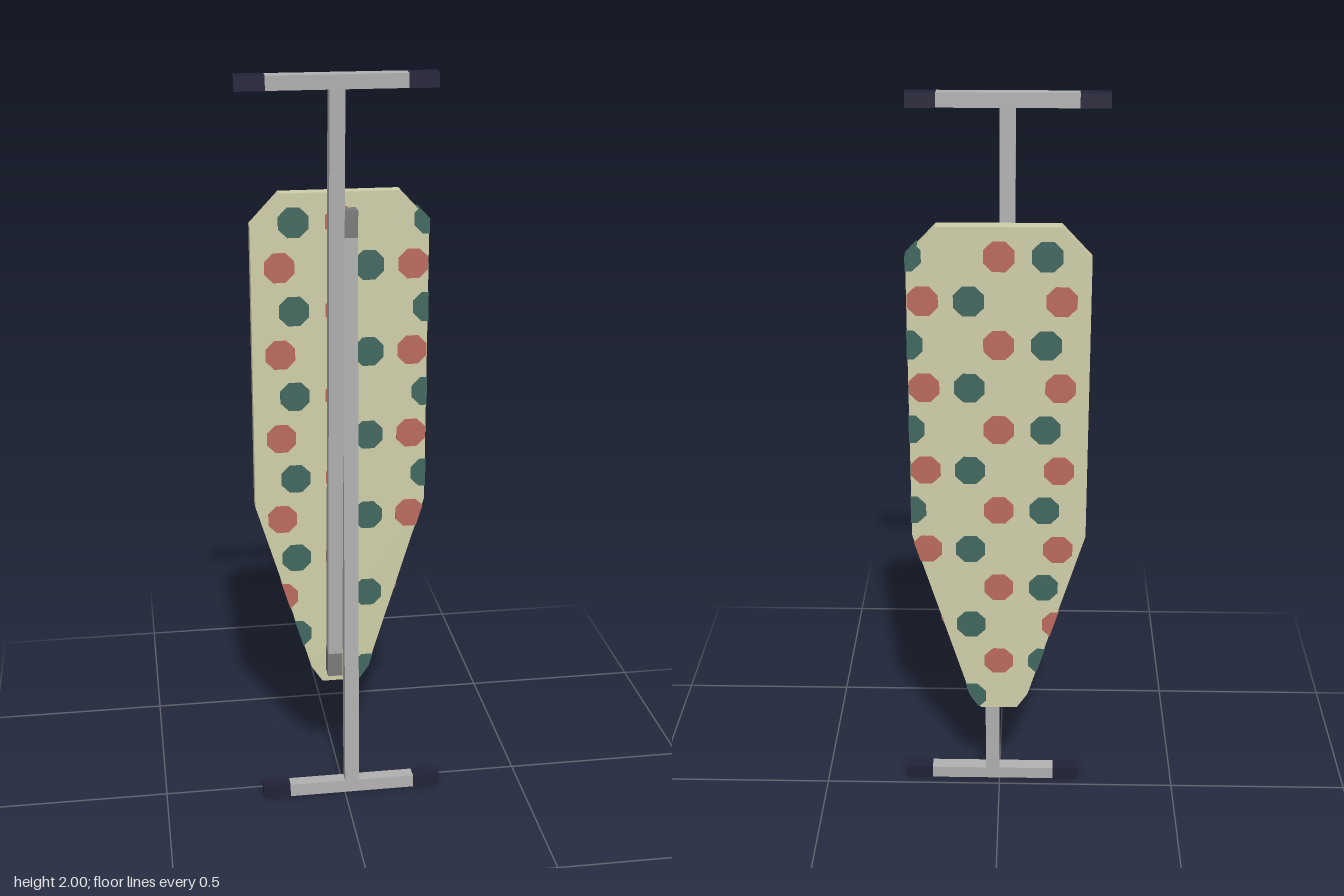
import * as THREE from 'three';

const mat = (name, color) => {
  const m = new THREE.MeshStandardMaterial({ color });
  m.name = name;
  return m;
};

// Half of the board outline, counter-clockwise from the narrow nose
const HALF = [[0.05, 0.31], [0.08, 0.355], [0.23, 0.85], [0.23, 1.615], [0.155, 1.695]];
const OUTLINE = [...HALF, ...HALF.map(([x, y]) => [-x, y]).reverse()]
  .map(([x, y]) => new THREE.Vector2(x, y));
const BACK = -0.068, FRONT = -0.03;

// Cuts a polygon to the inside of a convex counter-clockwise outline
function clip(poly, outline) {
  let out = poly;
  outline.forEach((a, i) => {
    const edge = outline[(i + 1) % outline.length].clone().sub(a);
    const dist = p => edge.x * (p.y - a.y) - edge.y * (p.x - a.x);
    const next = [];
    out.forEach((p, k) => {
      const q = out[(k + 1) % out.length];
      const dp = dist(p), dq = dist(q);
      if (dp >= 0) next.push(p);
      if (dp * dq < 0) next.push(p.clone().lerp(q, dp / (dp - dq)));
    });
    out = next;
  });
  return out;
}

function slab(points, back, front, material, name) {
  const g = new THREE.ExtrudeGeometry(new THREE.Shape(points),
    { depth: front - back, bevelEnabled: false });
  g.translate(0, 0, back);
  const mesh = new THREE.Mesh(g, material);
  mesh.name = name;
  return mesh;
}

function box(name, w, h, d, x, y, z, material) {
  const mesh = new THREE.Mesh(new THREE.BoxGeometry(w, h, d), material);
  mesh.position.set(x, y, z);
  mesh.name = name;
  return mesh;
}

export function createModel() {
  const cloth = mat('cream cloth', 0xcfcea8);
  const red = mat('red spot', 0xbb6a5e);
  const teal = mat('teal spot', 0x41685f);
  const metal = mat('grey metal', 0xb0b0b0);
  const hinge = mat('dark grey hinge', 0x7a7a7a);
  const rubber = mat('navy rubber', 0x222238);
  const model = new THREE.Group();
  model.name = 'foldedIroningBoard';

  // Padded board
  const board = new THREE.Group();
  board.name = 'board';
  board.add(slab(OUTLINE, BACK, FRONT, cloth, 'boardCover'));

  // Spots in alternating rows, wrapping over the board's rim
  const rim = OUTLINE.map(p => new THREE.Vector2(p.x * 1.008, 1 + (p.y - 1) * 1.008));
  const rows = [
    [[-0.12, teal], [0, red], [0.23, teal]],
    [[-0.157, red], [0.075, teal], [0.19, red]],
  ];
  for (let r = 0; r < 12; r++) {
    const y = 1.62 - r * 0.1157;
    for (const [x, colour] of rows[r % 2]) {
      const octagon = Array.from({ length: 8 }, (_, k) => {
        const a = (k + 0.5) * Math.PI / 4;
        return new THREE.Vector2(x + 0.042 * Math.cos(a), y + 0.042 * Math.sin(a));
      });
      const shape = clip(octagon, rim);
      if (shape.length > 2) board.add(slab(shape, BACK - 0.0015, FRONT + 0.0015, colour, 'spot'));
    }
  }
  model.add(board);

  // Leg with its foot bar at the top; local origin is the crossing point
  function leg(name) {
    const group = new THREE.Group();
    group.name = name;
    const tilted = new THREE.Group();
    tilted.name = 'legFrame';
    tilted.position.z = 0.0125;
    tilted.rotation.x = 0.034;
    tilted.add(box('legTube', 0.039, 1.55, 0.037, -0.02, 0.19, 0, metal));
    tilted.add(box('footBar', 0.35, 0.036, 0.038, -0.02, 0.981, 0, metal));
    for (const s of [-1, 1])
      tilted.add(box('footCap', 0.075, 0.037, 0.039, -0.02 + s * 0.2125, 0.981, 0, rubber));
    group.add(tilted);
    group.add(box('hingeBlock', 0.04, 0.075, 0.04, -0.02, -0.6175, -0.01, hinge));
    group.position.y = 1;
    return group;
  }
  const upper = leg('upperLeg');
  const lower = leg('lowerLeg');
  lower.rotation.z = Math.PI;
  model.add(upper, lower);
  return model;
}
